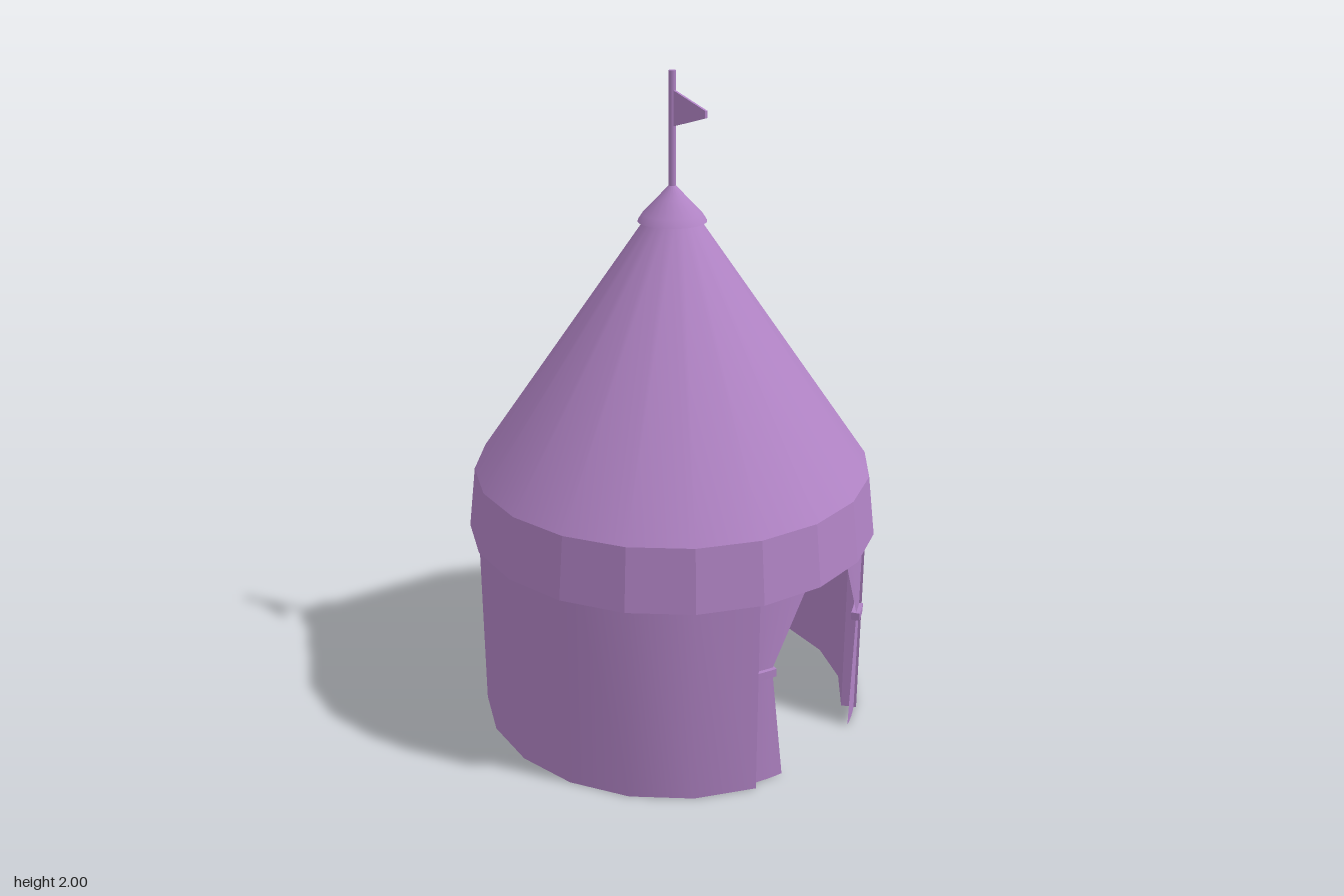
import * as THREE from 'three';
import { toCreasedNormals } from 'three/addons/utils/BufferGeometryUtils.js';

const SIDES = 20;
const RAD = Math.PI / 180;
const DOOR = 9, HALF = 27; // door centre and half width, in degrees from +z

const fabric = new THREE.MeshStandardMaterial({ color: 0xb083c4 });
const thin = new THREE.MeshStandardMaterial({ color: 0xb083c4, side: THREE.DoubleSide });

// Upright curved slab between two angles and two radii
function sector(a0, a1, segments, rIn, rOut, y0, y1) {
  const pts = [];
  const add = (r, i) => {
    const a = (a0 + (a1 - a0) * i / segments) * RAD;
    pts.push(new THREE.Vector2(r * Math.sin(a), -r * Math.cos(a)));
  };
  for (let i = 0; i <= segments; i++) add(rOut, i);
  for (let i = segments; i >= 0; i--) add(rIn, i);
  const geo = new THREE.ExtrudeGeometry(new THREE.Shape(pts), { depth: y1 - y0, bevelEnabled: false });
  geo.rotateX(-Math.PI / 2).translate(0, y0, 0);
  return toCreasedNormals(geo, 30 * RAD);
}

// Cloth hanging from the door top, gathered at the tie; side is -1 or 1
function curtain(side, radius) {
  const rows = [[0, 16.7], [0.355, 21], [0.38, 21], [0.62, 8], [0.8, 0]]; // height, free edge in degrees from door centre
  const cols = 4, pos = [], idx = [];
  rows.forEach(([y, edge]) => {
    for (let j = 0; j <= cols; j++) {
      const a = (DOOR + side * (HALF + (edge - HALF) * j / cols)) * RAD;
      pos.push(radius * Math.sin(a), y, radius * Math.cos(a));
    }
  });
  for (let i = 0; i < rows.length - 1; i++) {
    for (let j = 0; j < cols; j++) {
      const a = i * (cols + 1) + j, b = a + cols + 1;
      if (side < 0) idx.push(a, a + 1, b, a + 1, b + 1, b);
      else idx.push(a, b, a + 1, a + 1, b, b + 1);
    }
  }
  const geo = new THREE.BufferGeometry();
  geo.setAttribute('position', new THREE.Float32BufferAttribute(pos, 3));
  geo.setIndex(idx);
  geo.computeVertexNormals();
  return geo;
}

export function createModel() {
  const model = new THREE.Group();
  model.name = 'roundTent';
  const add = (name, geo, mat = fabric) => {
    const mesh = new THREE.Mesh(geo, mat);
    mesh.name = name;
    model.add(mesh);
  };

  // Round wall, open at the doorway and the floor
  add('wall', sector(DOOR + HALF, 360 + DOOR - HALF, 17, 0.557, 0.605, 0, 0.8));

  // Faceted valance under a smooth conical roof
  const valance = new THREE.CylinderGeometry(0.607, 0.63, 0.19, SIDES, 1, true).toNonIndexed();
  valance.computeVertexNormals();
  add('valance', valance.translate(0, 0.717, 0), thin);
  add('roof', new THREE.CylinderGeometry(0.075, 0.607, 0.77, SIDES, 1, true).translate(0, 1.197, 0), thin);

  // Cap over the roof peak
  const capProfile = [[0.102, 1.57], [0.088, 1.592], [0.045, 1.637], [0, 1.685]].map(p => new THREE.Vector2(...p));
  add('peakCap', new THREE.LatheGeometry(capProfile, SIDES), thin);

  // Pole and pennant
  add('flagPole', new THREE.CylinderGeometry(0.011, 0.011, 0.4, 10).translate(0, 1.8, 0));
  const pennant = new THREE.Shape([[0, 1.842], [0.14, 1.884], [0.14, 1.904], [0, 1.948]].map(p => new THREE.Vector2(...p)));
  const flag = new THREE.ExtrudeGeometry(pennant, { depth: 0.008, bevelEnabled: false });
  add('flag', flag.translate(0, 0, -0.004).rotateY(-Math.PI / 2));

  // Door curtains held back by ties; the left one hangs almost flush with the wall
  for (const [label, side, radius] of [['right', -1, 0.58], ['left', 1, 0.597]]) {
    add(label + 'Curtain', curtain(side, radius), thin);
    const angles = [DOOR + side * 20.5, DOOR + side * HALF].sort((a, b) => a - b);
    add(label + 'CurtainTie', sector(...angles, 3, radius - 0.015, radius + 0.012, 0.355, 0.38));
  }
  return model;
}
